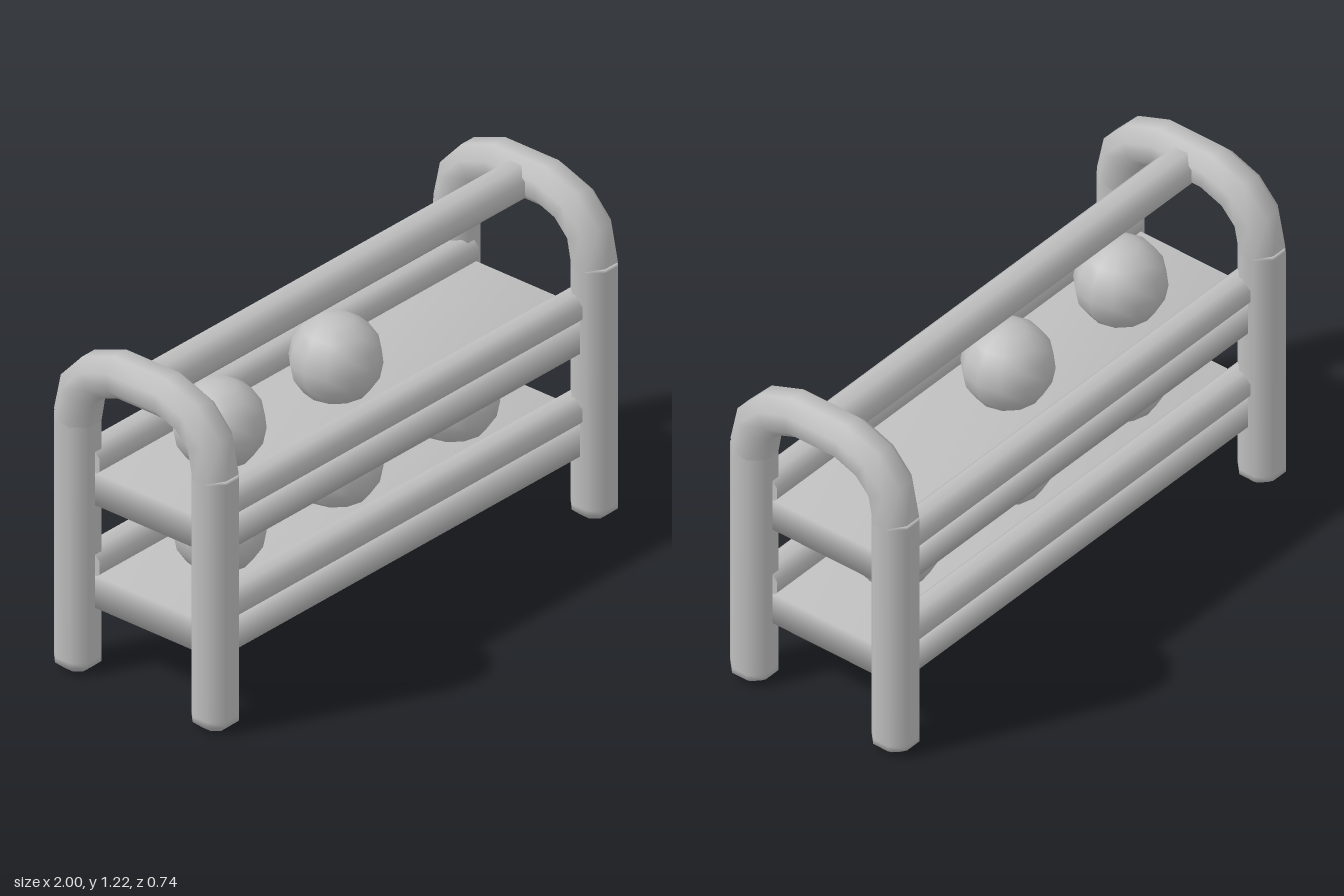
import * as THREE from 'three';
import { mergeVertices } from 'three/addons/utils/BufferGeometryUtils.js';

const R = 0.075 / Math.cos(Math.PI / 8); // octagon radius for a bar 0.15 wide

export function createModel() {
  const model = new THREE.Group();
  model.name = 'ballRack';
  const grey = new THREE.MeshStandardMaterial({ color: 0xbfbfbf });
  grey.name = 'grey';

  const add = (name, geometry, x = 0, y = 0, z = 0) => {
    const mesh = new THREE.Mesh(geometry, grey);
    mesh.name = name;
    mesh.position.set(x, y, z);
    model.add(mesh);
    return mesh;
  };

  // Eight-sided bar along x
  const bar = (radius, length) =>
    new THREE.CylinderGeometry(radius, radius, length, 8, 1, false, Math.PI / 8).rotateZ(Math.PI / 2);

  // End frames: two chamfered posts joined by a bent arch
  const profile = [[0, 0], [0.045, 0], [R, 0.03], [R, 0.05], [R, 0.925], [0.077, 0.935], [0, 0.935]]
    .map(([r, y]) => new THREE.Vector2(r, y));
  const postGeometry = new THREE.LatheGeometry(profile, 8, Math.PI / 8);
  const archGeometry = makeArch();
  for (const x of [-0.925, 0.925]) {
    const side = x > 0 ? 'left' : 'right';
    add(side + 'FrontPost', postGeometry, x, 0, 0.295);
    add(side + 'BackPost', postGeometry, x, 0, -0.295);
    add(side + 'Arch', archGeometry, x);
  }

  // Top rail between the arches
  add('topRail', bar(0.069, 1.78), 0, 1.14, 0);

  // Shelves with a lip rail along each long edge
  const shelfGeometry = softBox(1.85, 0.12, 0.6);
  const lipGeometry = bar(0.059, 1.85);
  for (const y of [0.24, 0.62]) {
    add('shelf', shelfGeometry, 0, y + 0.06, 0);
    for (const z of [-0.255, 0.255]) add('lipRail', lipGeometry, 0, y + 0.154, z);
  }

  // Balls resting on the shelves
  const ballGeometry = new THREE.SphereGeometry(0.156, 12, 8);
  for (const x of [-0.57, 0, 0.57]) add('lowerBall', ballGeometry, x, 0.472, 0);
  for (const x of [-0.57, 0]) add('upperBall', ballGeometry, x, 0.855, 0);

  return model;
}

// Box with shared, averaged normals
function softBox(w, h, d) {
  let g = new THREE.BoxGeometry(w, h, d);
  g.deleteAttribute('normal');
  g.deleteAttribute('uv');
  g.clearGroups();
  g = mergeVertices(g);
  g.computeVertexNormals();
  return g;
}

// Eight-sided tube swept along a bent path in the z-y plane
function makeArch() {
  const half = [[0.295, 0.925], [0.272, 1.04], [0.207, 1.11], [0.105, 1.148]];
  const path = [...half, ...half.map(([z, y]) => [-z, y]).reverse()];
  const positions = [];
  const index = [];
  path.forEach(([z, y], i) => {
    const a = path[Math.max(i - 1, 0)];
    const b = path[Math.min(i + 1, path.length - 1)];
    const len = Math.hypot(b[0] - a[0], b[1] - a[1]);
    const nz = (b[1] - a[1]) / len;
    const ny = -(b[0] - a[0]) / len;
    for (let k = 0; k < 8; k++) {
      const t = (k + 0.5) * Math.PI / 4;
      const s = R * Math.sin(t);
      positions.push(R * Math.cos(t), y + ny * s, z + nz * s);
      if (i < path.length - 1) {
        const p = i * 8 + k;
        const q = i * 8 + (k + 1) % 8;
        index.push(p, p + 8, q, q, p + 8, q + 8);
      }
    }
  });
  const g = new THREE.BufferGeometry();
  g.setAttribute('position', new THREE.Float32BufferAttribute(positions, 3));
  g.setIndex(index);
  g.computeVertexNormals();
  return g;
}
